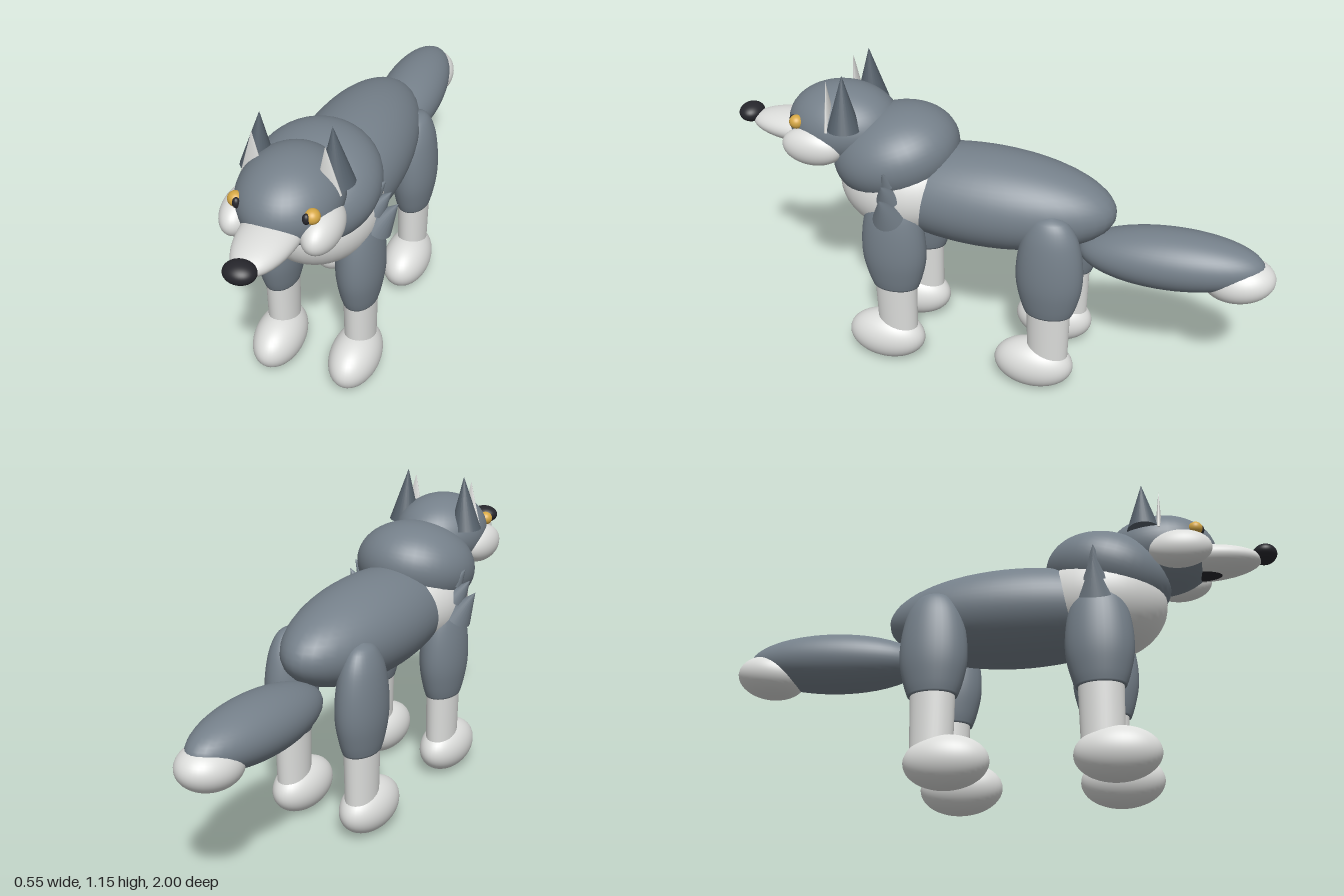
import * as THREE from 'three';

const mat = (name, color) => {
  const m = new THREE.MeshStandardMaterial({ color });
  m.name = name;
  return m;
};

export function createModel() {
  const fur = mat('slate fur', 0x75808a);
  const darkFur = mat('dark fur', 0x56616b);
  const pale = mat('pale fur', 0xdcdddb);
  const black = mat('nose black', 0x26262c);
  const amber = mat('amber', 0xd6a845);

  const model = new THREE.Group();
  model.name = 'canine';
  const ball = new THREE.SphereGeometry(1, 40, 28);

  const add = (name, geometry, material, pos, parent = model) => {
    const mesh = new THREE.Mesh(geometry, material);
    mesh.name = name;
    mesh.position.set(...pos);
    parent.add(mesh);
    return mesh;
  };
  // Ellipsoid with a centre, three radii and a pitch about x
  const blob = (name, material, pos, radii, pitch = 0, parent = model) => {
    const mesh = add(name, ball, material, pos, parent);
    mesh.scale.set(...radii);
    mesh.rotation.x = pitch;
    return mesh;
  };
  // Cone running from its base centre to its tip
  const spike = (name, material, base, tip, radius, parent = model) => {
    const a = new THREE.Vector3(...base), b = new THREE.Vector3(...tip);
    const dir = b.clone().sub(a);
    const mid = a.clone().add(b).multiplyScalar(0.5);
    const mesh = add(name, new THREE.ConeGeometry(radius, dir.length(), 24), material, mid.toArray(), parent);
    mesh.quaternion.setFromUnitVectors(new THREE.Vector3(0, 1, 0), dir.normalize());
    return mesh;
  };

  // Trunk
  blob('body', fur, [0, 0.693, 0.05], [0.2, 0.18, 0.48]);
  blob('chest', pale, [0, 0.71, 0.35], [0.21, 0.19, 0.245]);
  blob('mane', fur, [0, 0.825, 0.385], [0.222, 0.165, 0.235], 0.3);

  // Head
  blob('head', fur, [0, 0.91, 0.58], [0.17, 0.145, 0.205]);
  blob('muzzle', pale, [0, 0.868, 0.725], [0.098, 0.058, 0.22]);
  blob('lowerJaw', black, [0, 0.842, 0.72], [0.06, 0.036, 0.13]);
  blob('nose', black, [0, 0.888, 0.955], [0.053, 0.034, 0.045]);

  // Tail
  blob('tail', fur, [0, 0.556, -0.63], [0.125, 0.108, 0.33], 0.05);
  blob('tailTip', pale, [0, 0.517, -0.873], [0.1, 0.08, 0.128], 0.15);

  // Leg profiles, turned and then flattened sideways
  const thighCurve = new THREE.SplineCurve([
    [0.088, 0.34], [0.102, 0.38], [0.118, 0.45], [0.121, 0.52], [0.112, 0.6],
    [0.092, 0.67], [0.055, 0.722], [0, 0.74],
  ].map(p => new THREE.Vector2(...p)));
  const thighGeo = new THREE.LatheGeometry(
    [new THREE.Vector2(0, 0.34), ...thighCurve.getPoints(28).map(p => p.setX(Math.max(0, p.x)))], 32);
  const shinGeo = new THREE.CylinderGeometry(0.08, 0.075, 0.22, 32);

  for (const side of [1, -1]) {
    const label = side > 0 ? 'left' : 'right';
    const face = new THREE.Group();
    face.name = label + 'Face';
    model.add(face);

    // Cheek, eye and ear
    blob('cheek', pale, [side * 0.135, 0.862, 0.65], [0.062, 0.07, 0.115], 0, face);
    blob('eye', amber, [side * 0.125, 0.945, 0.71], [0.026, 0.025, 0.026], 0, face);
    blob('pupil', black, [side * 0.114, 0.945, 0.729], [0.013, 0.019, 0.013], 0, face);
    spike('ear', darkFur, [side * 0.133, 0.948, 0.525], [side * 0.12, 1.148, 0.525], 0.059, face);
    spike('innerEar', pale, [side * 0.126, 0.94, 0.58], [side * 0.12, 1.115, 0.587], 0.044, face).scale.z = 0.3;

    // Shoulder tufts
    const tufts = new THREE.Group();
    tufts.name = label + 'ShoulderTufts';
    model.add(tufts);
    [[0.203, 0.662, 0.275, 0.77, 0.056], [0.194, 0.735, 0.251, 0.812, 0.042], [0.192, 0.795, 0.231, 0.853, 0.028]]
      .forEach(([x0, y0, x1, y1, r]) =>
        spike('tuft', fur, [side * x0, y0, 0.347], [side * x1, y1, 0.347], r, tufts));

    // Legs
    for (const [end, z, footZ] of [['Front', 0.353, 0.4], ['Rear', -0.232, -0.18]]) {
      const leg = new THREE.Group();
      leg.name = label + end + 'Leg';
      model.add(leg);
      add('upperLeg', thighGeo, fur, [side * 0.148, 0, z], leg).scale.x = 0.68;
      add('lowerLeg', shinGeo, pale, [side * 0.147, 0.24, z], leg).scale.x = 0.72;
      blob('paw', pale, [side * 0.146, 0.098, footZ], [0.089, 0.096, 0.149], 0, leg);
    }
  }
  return model;
}
